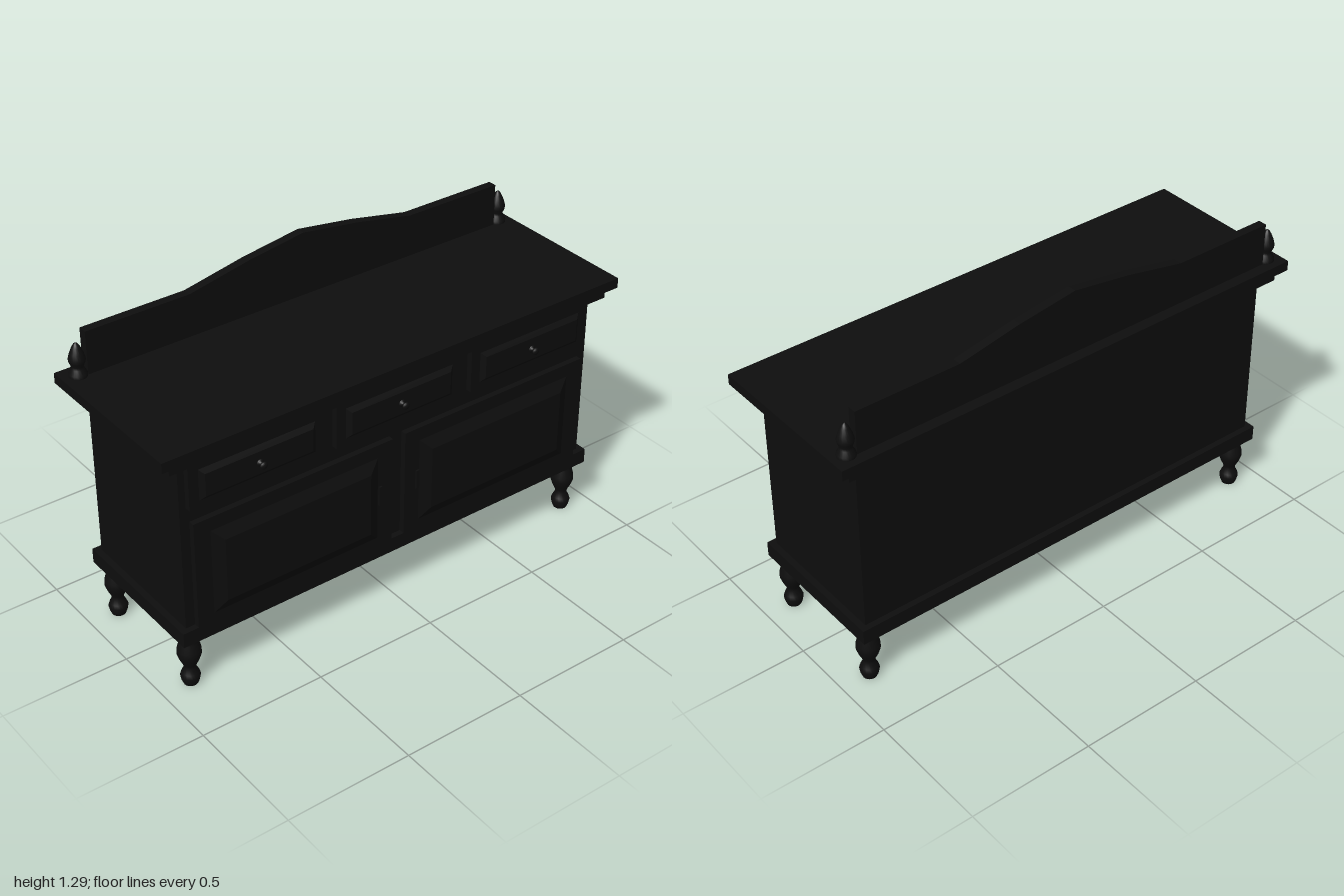
import * as THREE from 'three';

export function createModel() {
  const model = new THREE.Group();
  model.name = 'sideboard';
  const blackWood = new THREE.MeshStandardMaterial({ color: 0x0e0e0e });
  blackWood.name = 'blackWood';

  const add = (name, geometry, x = 0, y = 0, z = 0) => {
    const mesh = new THREE.Mesh(geometry, blackWood);
    mesh.name = name;
    mesh.position.set(x, y, z);
    model.add(mesh);
    return mesh;
  };

  // Box given by its minimum and maximum on each axis
  const slab = (name, x0, x1, y0, y1, z0, z1) =>
    add(name, new THREE.BoxGeometry(x1 - x0, y1 - y0, z1 - z0),
      (x0 + x1) / 2, (y0 + y1) / 2, (z0 + z1) / 2);

  // Raised panel whose front face is inset on every side
  const raisedPanel = (name, x, y, w, h, z0, z1, inset) => {
    const g = new THREE.BoxGeometry(w, h, z1 - z0);
    const p = g.attributes.position;
    for (let i = 0; i < p.count; i++) {
      if (p.getZ(i) > 0) {
        p.setX(i, p.getX(i) - Math.sign(p.getX(i)) * inset);
        p.setY(i, p.getY(i) - Math.sign(p.getY(i)) * inset);
      }
    }
    g.computeVertexNormals();
    add(name, g, x, y, (z0 + z1) / 2);
  };

  const lathe = (points, sides) =>
    new THREE.LatheGeometry(points.map(([r, y]) => new THREE.Vector2(r, y)), sides);

  // Carcass and worktop
  slab('body', -0.91, 0.91, 0.25, 0.97, -0.284, 0.277);
  slab('basePlinth', -0.935, 0.935, 0.22, 0.28, -0.308, 0.3);
  slab('topMoulding', -0.96, 0.96, 0.96, 1.0, -0.322, 0.312);
  slab('worktop', -1, 1, 1.0, 1.04, -0.346, 0.336);

  // Turned legs
  const legGeometry = lathe([
    [0, 0], [0.027, 0], [0.033, 0.015], [0.037, 0.035], [0.032, 0.05], [0.022, 0.07],
    [0.025, 0.085], [0.037, 0.11], [0.045, 0.135], [0.044, 0.155], [0.036, 0.185],
    [0.034, 0.2], [0.038, 0.208], [0.038, 0.225]], 20);
  for (const x of [-0.88, 0.88])
    for (const z of [-0.247, 0.24]) add('leg', legGeometry, x, 0, z);

  // Drawers with raised panels and knobs
  const knobGeometry = lathe([
    [0.016, 0], [0.013, 0.006], [0.007, 0.01], [0.008, 0.016], [0.015, 0.022],
    [0.014, 0.027], [0.007, 0.031], [0, 0.032]], 16);
  for (const x of [-0.605, 0, 0.605]) {
    slab('drawerFront', x - 0.278, x + 0.278, 0.78, 0.96, 0.27, 0.3);
    raisedPanel('drawerPanel', x, 0.869, 0.48, 0.13, 0.298, 0.314, 0.02);
    add('drawerKnob', knobGeometry, x, 0.868, 0.311).rotation.x = Math.PI / 2;
  }

  // Cupboard doors with bevelled panels and slim pulls
  for (const side of [-1, 1]) {
    const x = side * 0.45;
    slab('door', x - 0.422, x + 0.422, 0.28, 0.72, 0.27, 0.3);
    raisedPanel('doorPanel', x, 0.49, 0.72, 0.36, 0.298, 0.32, 0.05);
    slab('doorPull', side * 0.085 - 0.007, side * 0.085 + 0.007, 0.46, 0.54, 0.298, 0.307);
  }

  // Peaked backboard
  const outline = new THREE.Shape([
    [-0.91, 1.035], [0.91, 1.035], [0.91, 1.21], [0.49, 1.21], [0.24, 1.26],
    [0, 1.295], [-0.24, 1.26], [-0.49, 1.21], [-0.91, 1.21],
  ].map(([x, y]) => new THREE.Vector2(x, y)));
  add('backboard', new THREE.ExtrudeGeometry(outline, { depth: 0.035, bevelEnabled: false }), 0, 0, -0.302);

  // Finials at the ends of the backboard
  const finialGeometry = lathe([
    [0.034, 0], [0.034, 0.012], [0.024, 0.03], [0.022, 0.04], [0.029, 0.055],
    [0.031, 0.068], [0.025, 0.09], [0.016, 0.112], [0.008, 0.126], [0, 0.132]], 20);
  for (const x of [-0.94, 0.94]) add('finial', finialGeometry, x, 1.04, -0.284);

  return model;
}
